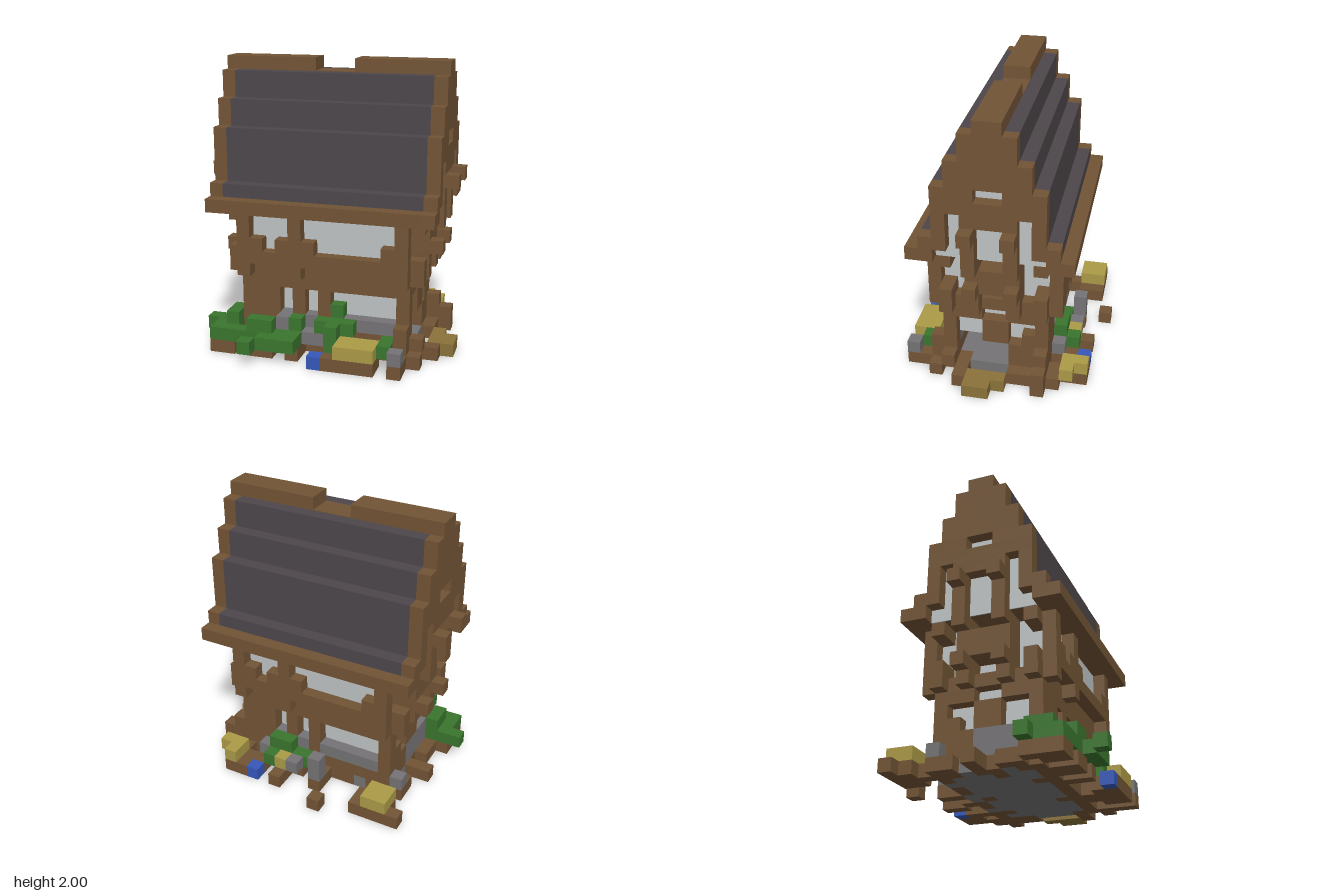
import * as THREE from 'three';
import { mergeGeometries } from 'three/addons/utils/BufferGeometryUtils.js';

const U = 1 / 11; // one block

function material(name, color) {
  const m = new THREE.MeshStandardMaterial({ color });
  m.name = name;
  return m;
}

const M = {
  wood: material('brown wood', 0x725435),
  slate: material('dark slate', 0x4d474b),
  glass: material('pale glass', 0xbec3c4),
  leaf: material('green leaf', 0x3a752e),
  stone: material('grey stone', 0x757375),
  flower: material('yellow flower', 0xab9a47),
  straw: material('dull straw', 0x8a7239),
  water: material('blue', 0x3558ba),
};

// Box given by its limits in blocks
function box(x0, x1, y0, y1, z0, z1) {
  return new THREE.BoxGeometry((x1 - x0) * U, (y1 - y0) * U, (z1 - z0) * U)
    .translate((x0 + x1) * U / 2, (y0 + y1) * U / 2, (z0 + z1) * U / 2);
}

// Run of whole blocks; columns are centred on x, block k starts at z = k
const blocks = ([x0, x1, y0, y1, k0, k1]) => box(x0 - 0.5, x1 + 0.5, y0, y1 + 1, k0, k1 + 1);

function mesh(name, mat, geometries) {
  const m = new THREE.Mesh(mergeGeometries(geometries), mat);
  m.name = name;
  return m;
}

// Panel drawn row by row from the top: # timber, s stone, o recessed glass, . open
function panel(name, rows, top, depth, angle) {
  const parts = { '#': [], s: [], o: [] };
  rows.forEach((row, r) => {
    const y = top - r;
    for (const run of row.matchAll(/#+|s+|o+/g)) {
      const x0 = run.index - row.length / 2;
      const ch = run[0][0];
      const front = ch === 'o' ? depth + 0.08 : depth + 1;
      parts[ch].push(box(x0, x0 + run[0].length, y, y + 1, depth, front));
    }
  });
  const g = new THREE.Group();
  g.name = name;
  g.rotation.y = angle;
  if (parts['#'].length) g.add(mesh('timber', M.wood, parts['#']));
  if (parts.s.length) g.add(mesh('stonework', M.stone, parts.s));
  if (parts.o.length) g.add(mesh('windowPanes', M.glass, parts.o));
  return g;
}

const LOWER_LONG = [
  '#############',
  '###o#o#ooooo#',
  '###o#o#ooooo#',
  '###s#s#sssss#',
  '#####ss######',
];
const UPPER_LONG = [
  '#ooo#ooooooo#',
  '#ooo#ooooooo#',
  '##o###ooooo##',
  '#############',
  '#...#.......#',
];
const LOWER_RIGHT = ['###oo###', '#oo##oo#', '#oo##o##', '#....###', '#....###'];
const LOWER_LEFT = ['###oo###', '#oo##oo#', '##o##oo#', '###ssss#', '###ssss#'];
const UPPER_SIDE = ['#o#oo#o#', 'oo####oo', 'oo####oo', '#o#oo#o#', '########'];
const SIDE_TRIM = ['#.#..#.#', '..####..', '..####..', '#.#..#.#', '#.#..#.#'];
const GABLE = [
  '##', '####', '####', '######', '######', '###oo###', '########',
  '#o####o#', '#o#oo#o#', '##o#oo#o##', '##oo#oo#oo##',
];
// Floor plan, back row first
const FLOOR = [
  '##s##ss##s###',
  '#sssss#sss#s#',
  'ssssssssssss#',
  '#ssssssssssss',
  '##sssssssssss',
  'sssssssssssss',
  '#ss#ssss#sss#',
  '#############',
];

function createWalls() {
  const g = new THREE.Group();
  g.name = 'walls';
  for (const turn of [0, Math.PI]) {
    const side = turn + Math.PI / 2;
    g.add(
      panel('lowerLongWall', LOWER_LONG, 5, 3, turn),
      panel('upperLongWall', UPPER_LONG, 10, 4, turn),
      panel('lowerSideWall', turn ? LOWER_LEFT : LOWER_RIGHT, 5, 5.5, side),
      panel('upperSideWall', UPPER_SIDE, 10, 5.5, side),
      panel('sideTrim', SIDE_TRIM, 10, 6.5, side),
      panel('gable', GABLE, 21, 7.5, side),
    );
  }
  g.add(mesh('upperFloor', M.wood, [box(-5.5, 5.5, 6, 7, -4, 4)]));

  // Beam ends and brackets on the gable sides
  const ends = [];
  for (const k of [1, -2]) {
    for (const s of [-1, 1]) {
      ends.push(blocks([9 * s, 9 * s, 13, 13, k, k]));
      ends.push(blocks([8 * s, 8 * s, 10, 10, k, k]));
    }
    ends.push(blocks([8, 8, 8, 8, k, k]), blocks([-8, -8, 7, 7, k, k]));
  }
  g.add(mesh('beamEnds', M.wood, ends));
  return g;
}

function createRoof() {
  const g = new THREE.Group();
  g.name = 'roof';
  // Stepped slopes: bottom, top, half depth
  const steps = [[12, 13, 5], [13, 17, 4], [17, 19, 3], [19, 21, 2]];
  g.add(mesh('slopes', M.slate, steps.map(([a, b, h]) => box(-7.5, 7.5, a, b, -h, h))));
  g.add(mesh('eaves', M.wood, [box(-7.5, 7.5, 11, 12, -6, 6)]));
  // Ridge in two halves with a gap between
  g.add(mesh('ridge', M.wood, [
    box(-7.5, -1.5, 21, 22, -1, 1),
    box(1.5, 7.5, 21, 22, -1, 1),
    box(-1.5, 1.5, 21, 21.05, -1, 1),
  ]));
  return g;
}

function createGround() {
  const g = new THREE.Group();
  g.name = 'ground';
  const floor = panel('floor', FLOOR, 3, 0, 0);
  floor.rotation.x = -Math.PI / 2;
  g.add(floor);
  // Ragged soil on the ground: x range, z range in blocks
  const addSoil = (name, list) => g.add(mesh(name, M.wood,
    list.map(([x0, x1, k0, k1]) => blocks([x0, x1, 0, 0, k0, k1]))));
  addSoil('frontSoil', [
    [-8, -7, 4, 5], [-8, -8, 3, 3], [-5, -4, 4, 5], [-2, -2, 4, 5],
    [1, 4, 5, 6], [2, 3, 4, 4], [6, 6, 4, 6],
  ]);
  addSoil('backSoil', [
    [-8, -8, -7, -7], [-7, -5, -7, -6], [-6, -6, -5, -5], [-2, -2, -8, -8], [-1, -1, -6, -5],
    [2, 2, -7, -6], [1, 1, -5, -5], [4, 4, -6, -5], [5, 6, -7, -6], [6, 6, -5, -5],
  ]);
  addSoil('sideSoil', [
    [7, 7, 4, 4], [8, 8, 2, 2], [7, 7, 2, 2], [7, 7, -3, -2], [8, 8, -4, -4], [7, 7, -5, -4],
    [-7, -7, 1, 2], [-7, -7, -1, -1], [-8, -8, -1, -1], [-7, -7, -4, -3],
  ]);
  g.add(mesh('stumps', M.wood, [
    [6, 6, 1, 2, 4, 4], [7, 7, 1, 2, -4, -4], [8, 8, 1, 1, -4, -4], [7, 7, 1, 1, 3, 3],
  ].map(blocks)));
  return g;
}

function createGarden() {
  const g = new THREE.Group();
  g.name = 'garden';
  const add = (name, mat, list) => g.add(mesh(name, mat, list.map(blocks)));
  add('frontBushes', M.leaf, [
    [-9, -9, 1, 1, 3, 3], [-8, -7, 1, 1, 3, 5], [-7, -7, 2, 2, 3, 4], [-6, -5, 1, 1, 5, 5],
    [-4, -2, 1, 1, 5, 6], [-5, -5, 1, 1, 7, 7], [-5, -4, 2, 2, 5, 5], [-2, -2, 2, 2, 4, 4],
    [0, 2, 2, 2, 4, 4], [1, 1, 1, 1, 4, 4], [1, 1, 3, 3, 3, 3], [1, 1, 1, 2, 5, 5],
    [5, 5, 1, 1, 4, 5],
  ]);
  add('backBushes', M.leaf, [[0, 3, 1, 1, -5, -5], [2, 3, 2, 2, -5, -5], [3, 3, 1, 1, -6, -6]]);
  add('flowers', M.flower, [
    [2, 4, 1, 1, 5, 6], [-7, -6, 1, 1, -7, -6], [6, 6, 1, 1, -7, -6], [7, 7, 1, 1, -6, -6],
    [2, 2, 1, 1, -6, -6],
  ]);
  add('straw', M.straw, [[9, 9, 0, 0, 0, 1], [8, 8, 0, 0, -1, 1]]);
  add('stones', M.stone, [
    [6, 6, 1, 1, 6, 6], [-1, 0, 1, 1, 4, 4], [-3, -3, 2, 2, 4, 4],
    [-1, -1, 1, 2, -6, -6], [1, 1, 1, 1, -6, -6], [4, 4, 1, 1, -5, -5], [-7, -7, 1, 1, -4, -4],
  ]);
  add('blueBlocks', M.water, [[0, 0, 0, 0, 6, 6], [4, 4, 0, 0, -7, -7]]);
  return g;
}

export function createModel() {
  const house = new THREE.Group();
  house.name = 'timberHouse';
  house.add(createGround(), createWalls(), createRoof(), createGarden());
  return house;
}
